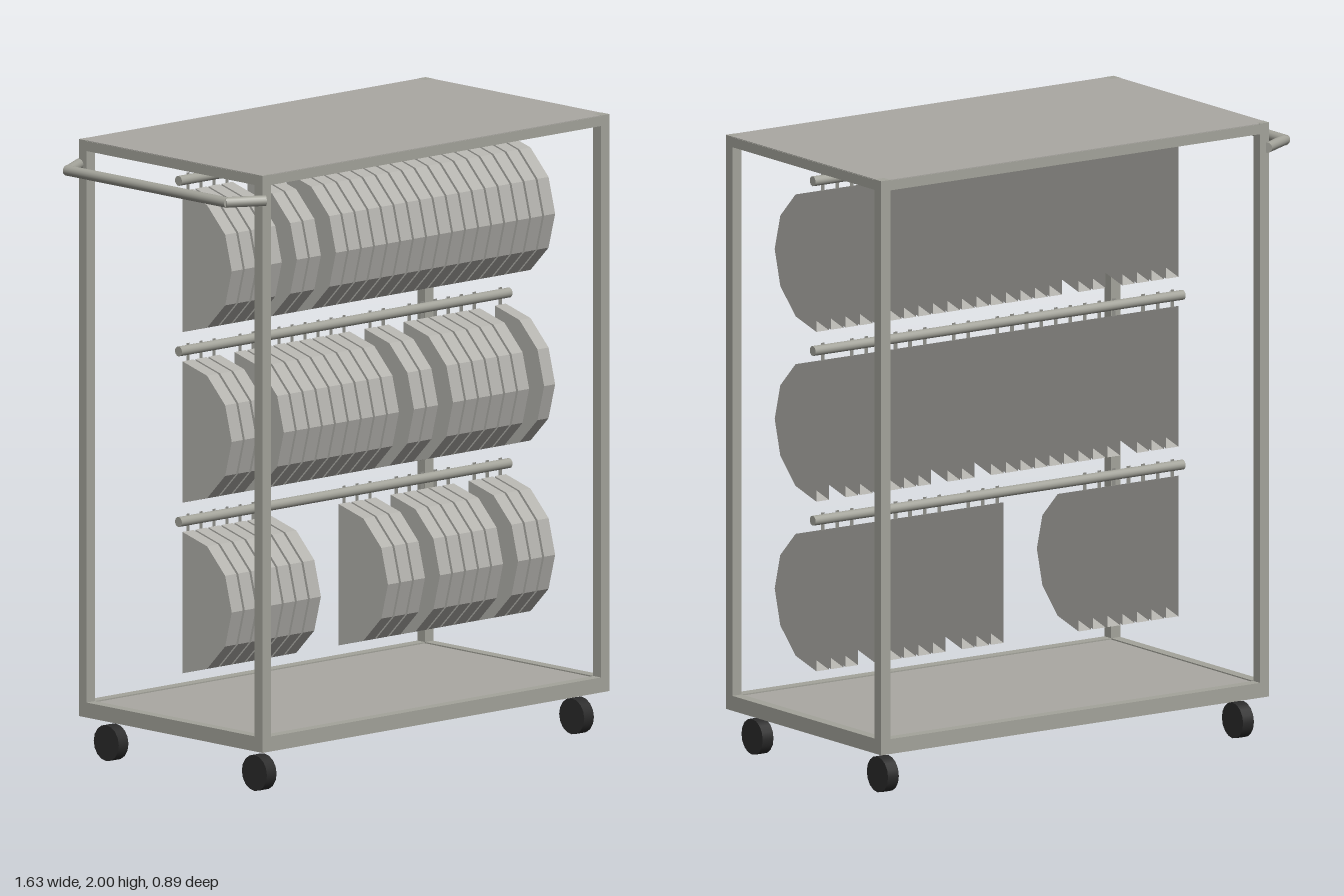
import * as THREE from 'three';

const material = (name, color, extra = {}) => {
  const m = new THREE.MeshStandardMaterial({ color, ...extra });
  m.name = name;
  return m;
};

export function createModel() {
  const group = new THREE.Group();
  const frameMat = material('greyMetal', 0xa4a49b);
  const panelMat = material('panelGrey', 0xaaa8a3);
  const bundleMat = material('lightGrey', 0xb4b3ae, { side: THREE.DoubleSide, flatShading: true });
  const hookMat = material('hookGrey', 0x8e8e88, { side: THREE.DoubleSide });
  const wheelMat = material('blackRubber', 0x2b2b2b);

  const add = (name, geometry, mat, x = 0, y = 0, z = 0) => {
    const mesh = new THREE.Mesh(geometry, mat);
    mesh.name = name;
    mesh.position.set(x, y, z);
    group.add(mesh);
    return mesh;
  };

  // Box given by its lower and upper corners
  const block = (name, mat, [x0, y0, z0], [x1, y1, z1]) =>
    add(name, new THREE.BoxGeometry(x1 - x0, y1 - y0, z1 - z0), mat,
      (x0 + x1) / 2, (y0 + y1) / 2, (z0 + z1) / 2);

  // Round bar between two points
  const bar = (name, a, b, radius) => {
    const from = new THREE.Vector3(...a), to = new THREE.Vector3(...b);
    const dir = to.clone().sub(from);
    const mesh = add(name, new THREE.CylinderGeometry(radius, radius, dir.length(), 16), frameMat);
    mesh.position.copy(from).add(to).multiplyScalar(0.5);
    mesh.quaternion.setFromUnitVectors(new THREE.Vector3(0, 1, 0), dir.normalize());
  };

  // Frame: four posts, then rails around the top and bottom
  const X0 = -0.697, X1 = 0.811, Z = 0.424, T = 0.036, Y0 = 0.14, Y1 = 2;
  for (const x of [X0, X1 - T]) {
    for (const z of [-Z, Z - T]) block('post', frameMat, [x, Y0, z], [x + T, Y1, z + T]);
  }
  for (const [y0, y1] of [[Y0, 0.188], [1.966, Y1 - 0.002]]) {
    for (const z of [-Z, Z - T]) block('longRail', frameMat, [X0 + T, y0, z], [X1 - T, y1, z + T]);
    for (const x of [X0, X1 - T]) block('shortRail', frameMat, [x, y0, -Z + T], [x + T, y1, Z - T]);
  }

  // Roof and floor panels
  const inset = 0.002;
  block('roofPanel', panelMat, [X0 + inset, 1.98, -Z + inset], [X1 - inset, Y1, Z - inset]);
  block('floorPanel', panelMat, [X0 + inset, Y0 - 0.001, -Z + inset], [X1 - inset, 0.184, Z - inset]);

  // Push handle on the right end
  const handleY = 1.92;
  bar('handleGrip', [-0.799, handleY, -0.372], [-0.799, handleY, 0.372], 0.017);
  for (const s of [-1, 1]) {
    bar('handleArm', [-0.802, handleY, s * 0.363], [-0.687, handleY, s * 0.428], 0.017);
  }

  // Hanging rods, each with 25 slots; listed slots stay empty
  const rows = [
    { y: 1.92, empty: [4, 7] },
    { y: 1.37, empty: [3, 13, 16, 23] },
    { y: 0.82, empty: [7, 8, 9, 10, 11, 15, 21] },
  ];
  const radius = 0.228;
  // Open-backed half drum with its axis along x
  const halfDrum = new THREE.CylinderGeometry(radius, radius, 0.048, 6, 1, false, -Math.PI / 2, Math.PI);
  halfDrum.rotateZ(Math.PI / 2);
  const hook = new THREE.PlaneGeometry(0.014, 0.058);
  for (const { y, empty } of rows) {
    bar('hangingRod', [-0.663, y, 0], [0.775, y, 0], 0.016);
    for (let i = 0; i < 25; i++) {
      if (empty.includes(i)) continue;
      const x = -0.622 + i * 0.0566;
      add('hangingHalfDrum', halfDrum, bundleMat, x, y - 0.262, 0);
      add('hook', hook, hookMat, x, y - 0.007, 0);
    }
  }

  // Caster wheels
  const wheel = new THREE.CylinderGeometry(0.058, 0.058, 0.042, 16);
  wheel.rotateZ(Math.PI / 2);
  for (const x of [-0.634, 0.746]) {
    for (const z of [-0.342, 0.342]) add('casterWheel', wheel, wheelMat, x, 0.058, z);
  }

  return group;
}
